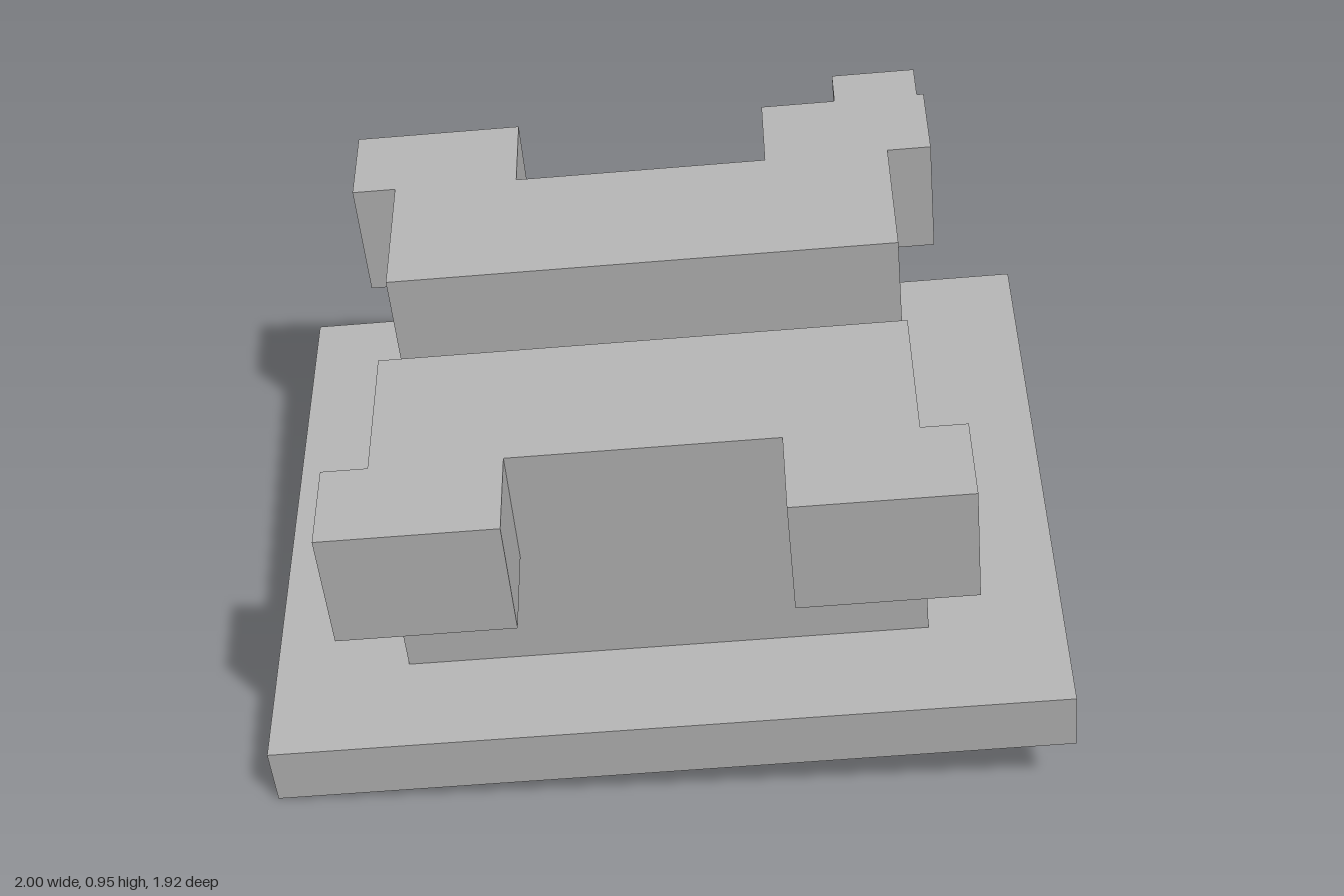
import * as THREE from 'three';

export function createModel() {
  const grey = new THREE.MeshStandardMaterial({ color: 0xb4b4b4 });
  grey.name = 'plainGrey';

  const model = new THREE.Group();
  model.name = 'notchedBlockOnPlate';

  // The whole piece is turned on its base and tipped towards the front
  const piece = new THREE.Group();
  piece.name = 'tiltedPiece';
  piece.rotation.set(0.168, 0.566, 0);
  piece.position.set(0, 0.1607, -0.0105);
  model.add(piece);

  // Box given by its lower and upper limits on each axis
  function box(name, [x0, x1], [y0, y1], [z0, z1]) {
    const mesh = new THREE.Mesh(new THREE.BoxGeometry(x1 - x0, y1 - y0, z1 - z0), grey);
    mesh.position.set((x0 + x1) / 2, (y0 + y1) / 2, (z0 + z1) / 2);
    mesh.name = name;
    piece.add(mesh);
  }

  const base = 0.125, floor = 0.341, top = 0.648, lugBottom = 0.393;
  const halfWidth = 0.511, halfDepth = 0.431, halfSlot = 0.121;

  // Base plate
  box('basePlate', [-0.774, 0.774], [0, base], [-0.647, 0.647]);

  // Body with a slot running from side to side
  const profile = new THREE.Shape([
    [-halfDepth, base], [halfDepth, base], [halfDepth, top], [halfSlot, top],
    [halfSlot, floor], [-halfSlot, floor], [-halfSlot, top], [-halfDepth, top],
  ].map(([z, y]) => new THREE.Vector2(z, y)));
  const bodyGeometry = new THREE.ExtrudeGeometry(profile, { depth: 2 * halfWidth, bevelEnabled: false });
  bodyGeometry.translate(0, 0, -halfWidth);
  bodyGeometry.rotateY(-Math.PI / 2);
  const body = new THREE.Mesh(bodyGeometry, grey);
  body.name = 'slottedBody';
  piece.add(body);

  // Four lugs at the upper corners, overhanging the sides
  const span = (sign, a, b) => (sign > 0 ? [a, b] : [-b, -a]);
  for (const sx of [-1, 1]) {
    for (const sz of [-1, 1]) {
      const name = (sz > 0 ? 'front' : 'back') + (sx > 0 ? 'Left' : 'Right') + 'Lug';
      box(name, span(sx, 0.258, 0.6), [lugBottom, top], span(sz, halfDepth, 0.62));
    }
  }

  // Small tab on one back lug
  box('backTab', [0.412, 0.586], [0.52, top], [-0.713, -0.62]);

  return model;
}
